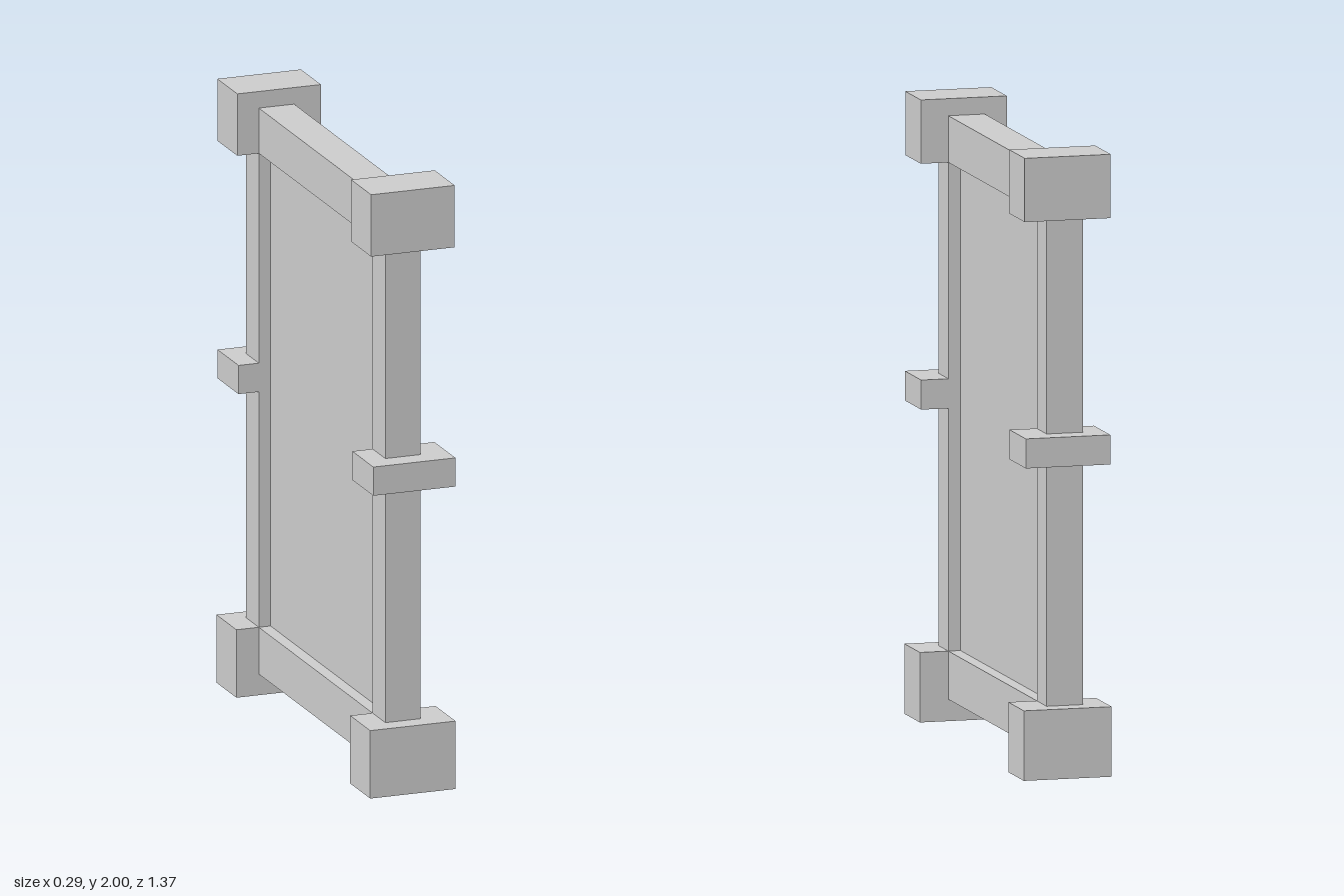
import * as THREE from 'three';

export function createModel() {
  const model = new THREE.Group();
  const material = new THREE.MeshStandardMaterial({ color: 0xcccccc, flatShading: true });

  // Box given by its extents along each axis
  function block(name, [x0, x1], [y0, y1], [z0, z1]) {
    const mesh = new THREE.Mesh(new THREE.BoxGeometry(x1 - x0, y1 - y0, z1 - z0), material);
    mesh.position.set((x0 + x1) / 2, (y0 + y1) / 2, (z0 + z1) / 2);
    mesh.name = name;
    model.add(mesh);
  }

  const frameX = [-0.07, 0.05];
  const inner = 0.501;

  // Posts with their foot, collar and cap at both ends
  for (const [end, s] of [['front', 1], ['back', -1]]) {
    const span = (outer) => (s > 0 ? [inner, outer] : [-outer, -inner]);
    block(end + 'Foot', [-0.146, 0.144], [0, 0.225], span(0.677));
    block(end + 'LowerPost', frameX, [0.225, 1.005], span(0.613));
    block(end + 'Collar', [-0.139, 0.14], [1.005, 1.1], span(0.686));
    block(end + 'UpperPost', frameX, [1.1, 1.795], span(0.613));
    block(end + 'Cap', [-0.143, 0.141], [1.795, 2], span(0.677));
  }

  // Rails between the posts
  block('bottomRail', frameX, [0.07, 0.225], [-inner, inner]);
  block('topRail', frameX, [1.795, 1.945], [-inner, inner]);

  // Recessed panel
  block('panel', [-0.03, 0.01], [0.225, 1.795], [-inner, inner]);

  return model;
}
